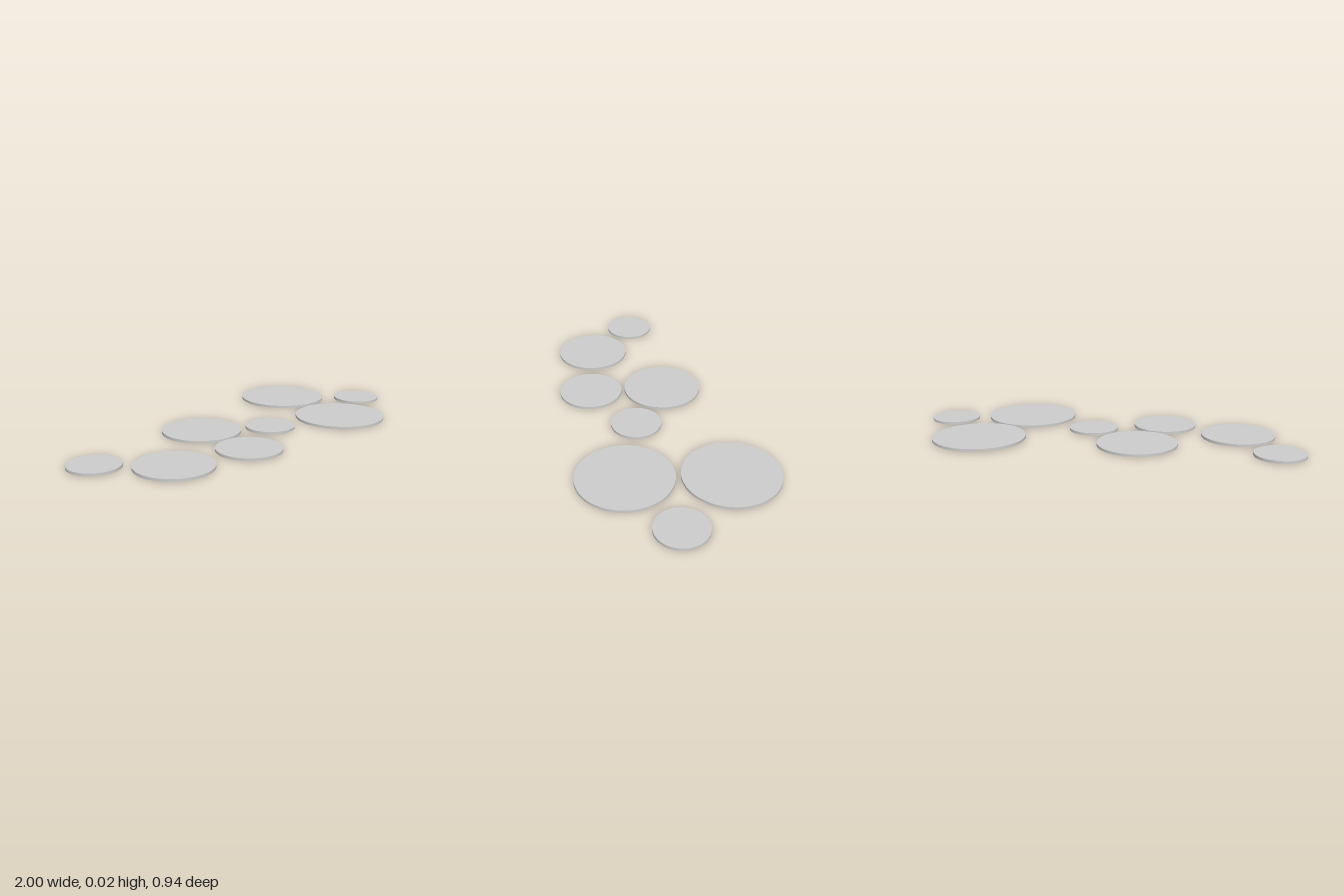
import * as THREE from 'three';
import { toCreasedNormals } from 'three/addons/utils/BufferGeometryUtils.js';

const THICKNESS = 0.013;
const material = new THREE.MeshStandardMaterial({ color: 0xcccccc });

// Each pad: centre x, z; radius; notch tip offset (x, -z); notch edges in degrees; height
const PADS = [
  [-0.875, -0.118, 0.125, -0.018, -0.003, 188, 199, 0],
  [-0.648, 0.150, 0.185, 0.005, -0.060, 253, 265, 0],
  [-0.191, -0.129, 0.198, -0.016, 0.095, 125.5, 138, 0],
  [-0.253, 0.241, 0.160, 0.011, 0.043, 49, 62, 0],
  [0.091, 0.082, 0.125, 0.013, 0.016, 45, 58, 0],
  [0.593, -0.240, 0.232, 0.063, -0.043, 300, 313, 0.003],
  [0.486, 0.235, 0.232, 0.111, 0.039, 45.5, 57, 0],
  [0.873, 0.082, 0.125, 0.013, 0.016, 45, 58, 0],
];

// Flat disc with a narrow wedge cut into its rim
function lilyPad([x, z, r, tipX, tipY, from, to, y]) {
  const shape = new THREE.Shape();
  const start = THREE.MathUtils.degToRad(to);
  const end = THREE.MathUtils.degToRad(from + 360);
  shape.moveTo(tipX, tipY);
  shape.absarc(0, 0, r, start, end, false);
  shape.closePath();
  const geometry = new THREE.ExtrudeGeometry(shape, {
    depth: THICKNESS, bevelEnabled: false, curveSegments: 40,
  });
  geometry.rotateX(-Math.PI / 2);
  const mesh = new THREE.Mesh(toCreasedNormals(geometry, Math.PI / 6), material);
  mesh.position.set(x, y, z);
  return mesh;
}

export function createModel() {
  const group = new THREE.Group();
  group.name = 'lilyPads';
  PADS.forEach((pad, i) => {
    const mesh = lilyPad(pad);
    mesh.name = `lilyPad${i + 1}`;
    group.add(mesh);
  });
  return group;
}
